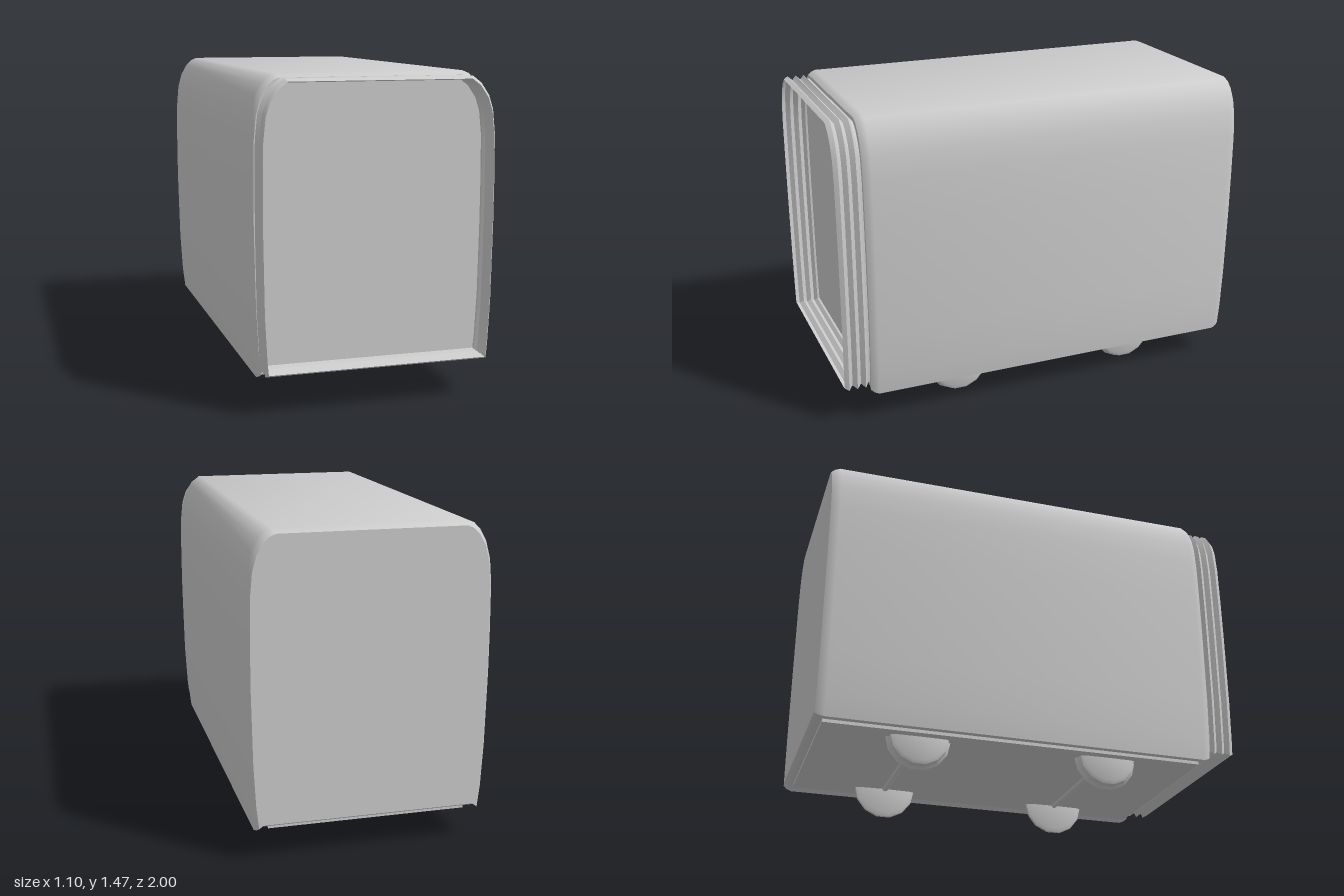
import * as THREE from 'three';
import { toCreasedNormals } from 'three/addons/utils/BufferGeometryUtils.js';

// right half of the carriage cross-section, bottom to top
const HALF = [[0.5, 0.16], [0.52, 0.145], [0.532, 0.25], [0.543, 0.45], [0.55, 0.8], [0.55, 1.0],
  [0.547, 1.2], [0.537, 1.31], [0.518, 1.38], [0.49, 1.43], [0.46, 1.46], [0.43, 1.472]];
const BELLOWS_HALF = [[0.512, 0.185], [0.518, 0.25], [0.528, 0.45], [0.533, 0.8], [0.533, 1.0],
  [0.53, 1.2], [0.518, 1.31], [0.498, 1.37], [0.46, 1.425], [0.42, 1.455]];
const mirror = (half) => [...half, ...half.slice().reverse().map(([x, y]) => [-x, y])];

// joins copies of a section, given as [z, inset] stations running from back to front
function loft(half, stations, capBack, capFront, crease) {
  const section = mirror(half), n = section.length, midY = 0.81;
  const rings = stations.map(([z, d]) => section.map(([x, y]) => [
    x * (1 - d / 0.55), midY + (y - midY) * (1 - d / 0.66), z]));
  const pos = [];
  const tri = (...corners) => corners.forEach((c) => pos.push(...c));
  for (let i = 0; i < rings.length - 1; i++) {
    for (let j = 0; j < n; j++) {
      const k = (j + 1) % n;
      tri(rings[i][j], rings[i][k], rings[i + 1][k]);
      tri(rings[i][j], rings[i + 1][k], rings[i + 1][j]);
    }
  }
  const back = rings[0], front = rings[rings.length - 1];
  for (let j = 0; j < n; j++) {
    const k = (j + 1) % n;
    if (capBack) tri([0, midY, back[0][2]], back[k], back[j]);
    if (capFront) tri([0, midY, front[0][2]], front[j], front[k]);
  }
  const geo = new THREE.BufferGeometry();
  geo.setAttribute('position', new THREE.Float32BufferAttribute(pos, 3));
  return toCreasedNormals(geo, crease);
}

export function createModel() {
  const model = new THREE.Group();
  model.name = 'carriage';
  const grey = new THREE.MeshStandardMaterial({ color: 0xcccccc });
  grey.name = 'plain grey';
  const greyOpen = new THREE.MeshStandardMaterial({ color: 0xcccccc, side: THREE.DoubleSide });
  greyOpen.name = 'plain grey two sided';
  const add = (name, geo, x = 0, y = 0, z = 0, mat = grey) => {
    const mesh = new THREE.Mesh(geo, mat);
    mesh.name = name;
    mesh.position.set(x, y, z);
    model.add(mesh);
    return mesh;
  };

  // closed shell with softened ends
  add('body', loft(HALF, [[-1, 0.018], [-0.985, 0.008], [-0.96, 0], [0.84, 0], [0.86, 0.007], [0.875, 0.018]],
    true, true, 0.6));

  // open folded gangway at the front
  const folds = [[0.87, 0.02], [0.885, 0.018], [0.9, 0], [0.92, 0.018], [0.94, 0], [0.96, 0.018], [0.98, 0], [1, 0.012]];
  add('gangwayBellows', loft(BELLOWS_HALF, folds, false, false, 0.5), 0, 0, 0, greyOpen);

  // floor plate under the shell
  add('underframe', new THREE.BoxGeometry(0.91, 0.02, 1.8), 0, 0.155, -0.06);

  // wheels: flange on the inner side, rounded tread and hub outside
  const profile = [[0, -0.035], [0.13, -0.03], [0.15, -0.022], [0.152, -0.012], [0.14, 0], [0.136, 0.024],
    [0.12, 0.032], [0, 0.034]].map(([r, h]) => new THREE.Vector2(r, h));
  const wheelGeo = toCreasedNormals(new THREE.LatheGeometry(profile, 14), 0.7);
  for (const z of [0.395, -0.51]) {
    for (const side of [1, -1]) {
      const wheel = add('wheel', wheelGeo, side * 0.378, 0.153, z);
      wheel.rotation.z = -side * Math.PI / 2;
    }
    const axle = add('axle', new THREE.CylinderGeometry(0.015, 0.015, 0.72, 10), 0, 0.148, z);
    axle.rotation.z = Math.PI / 2;
  }
  return model;
}
